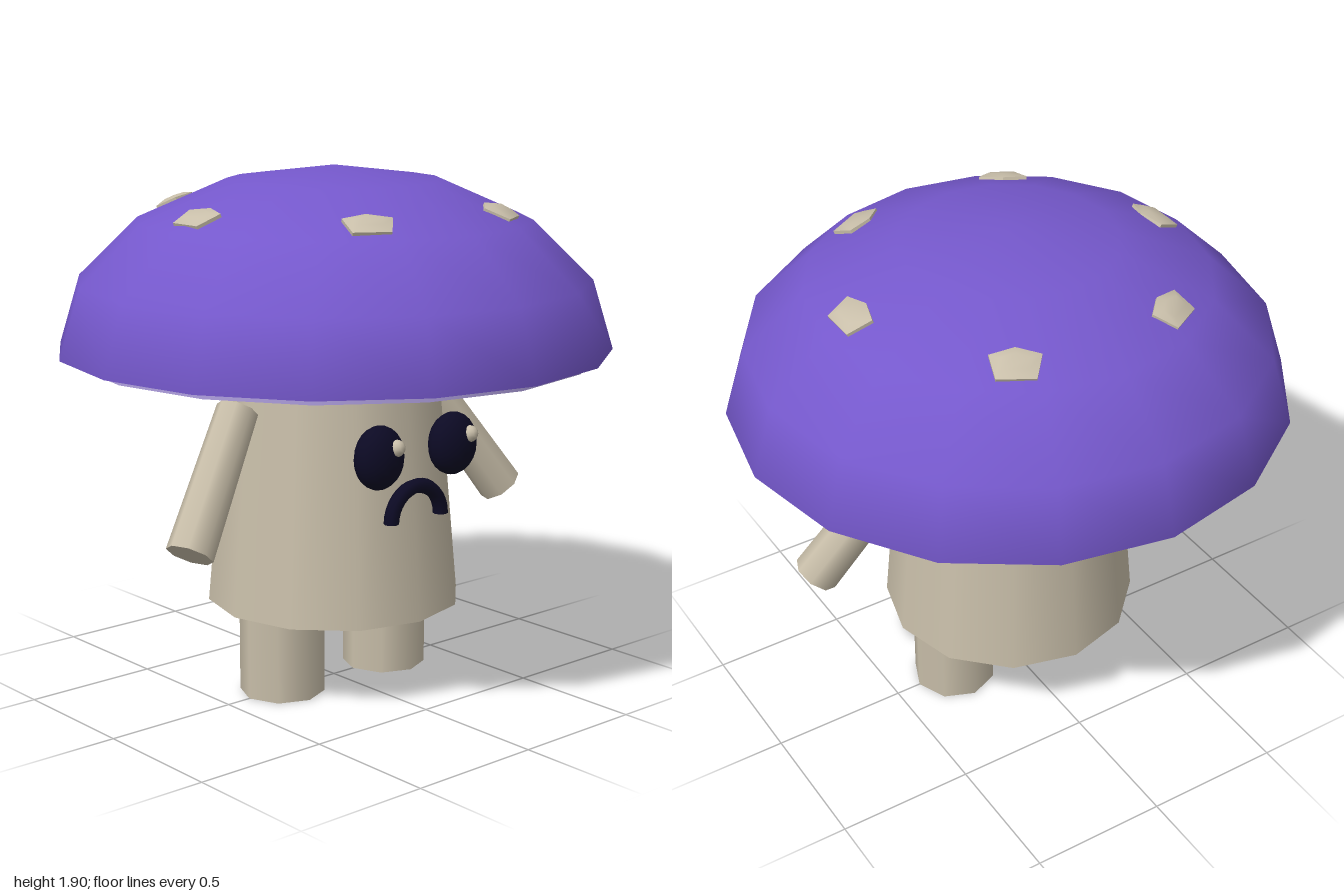
import * as THREE from 'three';
import { toCreasedNormals } from 'three/addons/utils/BufferGeometryUtils.js';

export function createModel() {
  const group = new THREE.Group();
  const material = (name, color, side = THREE.FrontSide) => {
    const m = new THREE.MeshStandardMaterial({ color, side });
    m.name = name;
    return m;
  };
  const purple = material('cap purple', 0x7558cc, THREE.DoubleSide);
  const lavender = material('gill lavender', 0xb0a0e0);
  const cream = material('stem cream', 0xc8bea9);
  const navy = material('face navy', 0x0c0a24, THREE.DoubleSide);

  const add = (name, geometry, mat, x = 0, y = 0, z = 0, parent = group) => {
    const mesh = new THREE.Mesh(geometry, mat);
    mesh.name = name;
    mesh.position.set(x, y, z);
    parent.add(mesh);
    return mesh;
  };

  // Cap: squashed open dome with a pale disc set into its underside
  const dome = new THREE.SphereGeometry(1, 16, 4, 0, Math.PI * 2, 0, Math.PI / 2);
  dome.scale(1, 0.65, 1);
  add('cap', dome, purple, 0, 1.25, 0);
  add('gills', new THREE.CylinderGeometry(0.94, 0.94, 0.05, 16), lavender, 0, 1.25, 0);

  // Spots: low pentagonal bumps lying on the slope of the cap
  const outline = [[-0.066, -0.058], [0.066, -0.058], [0.086, 0.035], [0, 0.062], [-0.086, 0.035]];
  const spotShape = new THREE.Shape(outline.map(([x, y]) => new THREE.Vector2(x, y)));
  const spotGeometry = toCreasedNormals(new THREE.ExtrudeGeometry(spotShape, {
    depth: 0.02, bevelSize: 0.03, bevelOffset: -0.03, bevelThickness: 0.012, bevelSegments: 1,
  }), 0.6);
  spotGeometry.translate(0, 0, -0.014);
  for (let i = 0; i < 6; i++) {
    const pivot = new THREE.Group();
    pivot.name = 'spotPivot';
    pivot.rotation.y = Math.PI / 6 + (i * Math.PI) / 3;
    group.add(pivot);
    add('spot', spotGeometry, cream, 0, 1.754, 0.605, pivot).rotation.x = 0.41 - Math.PI / 2;
  }

  // Tapered stem body
  add('body', new THREE.CylinderGeometry(0.382, 0.467, 0.93, 12), cream, 0, 0.785, 0);

  const up = new THREE.Vector3(0, 1, 0);
  for (const side of [-1, 1]) {
    const label = side > 0 ? 'left' : 'right';

    // Legs
    add(label + 'Leg', new THREE.CylinderGeometry(0.155, 0.155, 0.34, 8), cream, side * 0.25, 0.17, 0);

    // Arms hang outward and slightly forward
    const shoulder = new THREE.Vector3(side * 0.445, 1.075, 0);
    const hand = new THREE.Vector3(side * 0.75, 0.63, 0.118);
    const along = shoulder.clone().sub(hand);
    const mid = shoulder.clone().add(hand).multiplyScalar(0.5);
    const arm = add(label + 'Arm', new THREE.CylinderGeometry(0.075, 0.085, along.length(), 8),
      cream, mid.x, mid.y, mid.z);
    arm.quaternion.setFromUnitVectors(up, along.normalize());

    // Eyes, both glints on the same side
    const eye = new THREE.SphereGeometry(1, 16, 12);
    eye.scale(0.1, 0.113, 0.072);
    add(label + 'Eye', eye, navy, side * 0.175, 0.938, 0.438);
    add(label + 'EyeGlint', new THREE.SphereGeometry(0.03, 10, 8), cream, side * 0.175 + 0.03, 0.977, 0.495);
  }

  // Frowning mouth
  add('mouth', new THREE.TorusGeometry(0.118, 0.027, 8, 16, Math.PI), navy, 0, 0.693, 0.44);

  return group;
}
